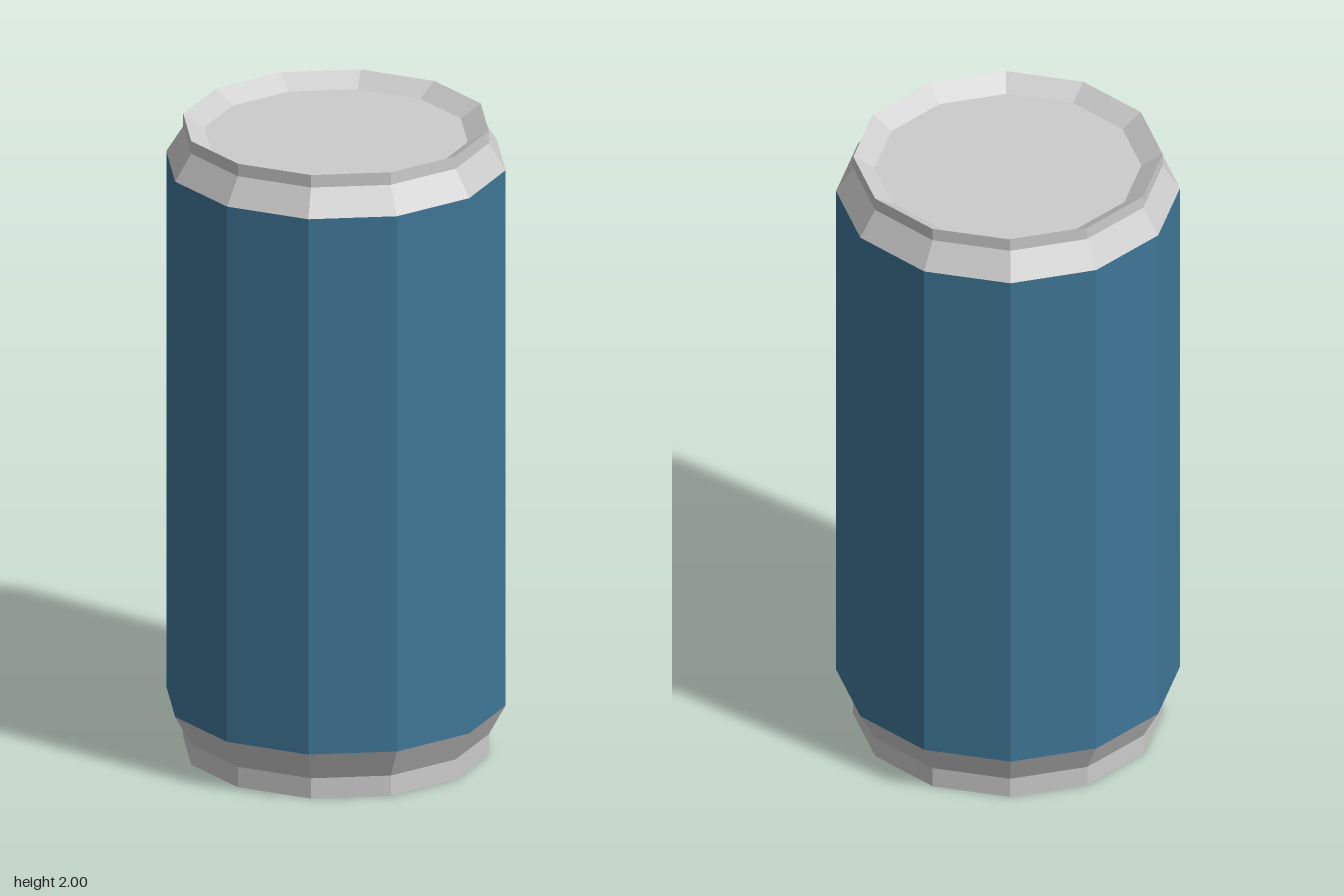
import * as THREE from 'three';

const SIDES = 12;
const TURN = Math.PI / SIDES; // half a facet, so flat faces point along x and z

const metal = new THREE.MeshStandardMaterial({ color: 0xcccccc });
metal.name = 'bare metal';
const paint = new THREE.MeshStandardMaterial({ color: 0x3f7797 });
paint.name = 'blue paint';

// Profile points are [distance to the flat face, height], listed from bottom to top
function ring(name, profile, material) {
  const points = profile.map(([r, y]) => new THREE.Vector2(r / Math.cos(TURN), y));
  const geometry = new THREE.LatheGeometry(points, SIDES, TURN).toNonIndexed();
  geometry.computeVertexNormals(); // hard facets
  const mesh = new THREE.Mesh(geometry, material);
  mesh.name = name;
  return mesh;
}

// Flat twelve-sided plate facing up (1) or down (-1)
function plate(name, r, y, facing) {
  const geometry = new THREE.CircleGeometry(r / Math.cos(TURN), SIDES, TURN);
  geometry.rotateX(-facing * Math.PI / 2);
  const mesh = new THREE.Mesh(geometry, metal);
  mesh.position.y = y;
  mesh.name = name;
  return mesh;
}

export function createModel() {
  const can = new THREE.Group();
  can.name = 'can';
  can.add(
    // Recessed underside, foot and lower taper
    ring('base', [[0.34, 0.065], [0.45, 0], [0.45, 0.065], [0.5, 0.16]], metal),
    plate('baseFloor', 0.34, 0.065, -1),
    // Painted wall
    ring('body', [[0.5, 0.16], [0.5, 1.877]], paint),
    // Shoulder, rim and slope down to the recessed lid
    ring('topRim', [[0.5, 1.877], [0.45, 1.96], [0.45, 2], [0.388, 1.96]], metal),
    plate('lid', 0.388, 1.96, 1),
  );
  return can;
}
